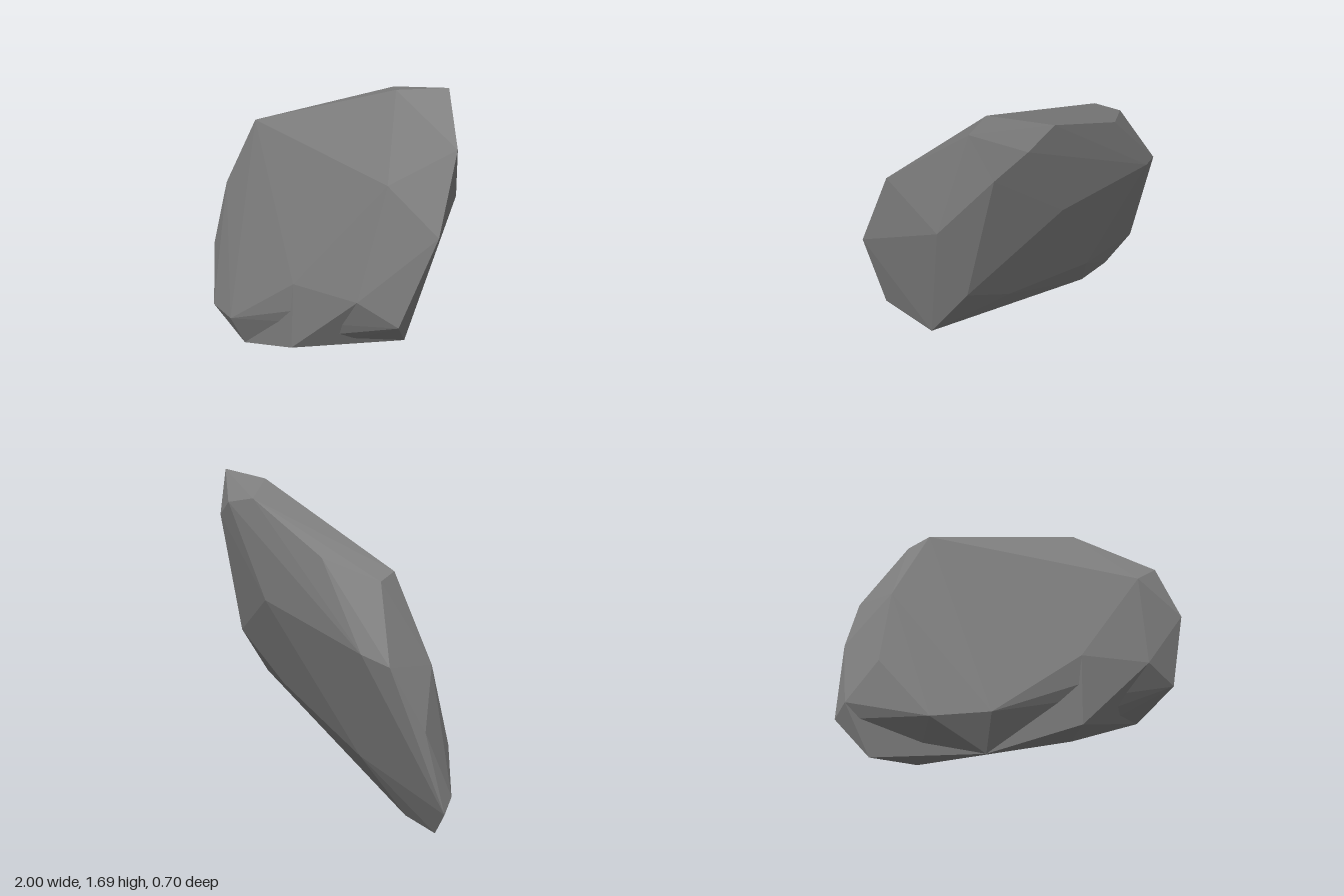
import * as THREE from 'three';
import { ConvexGeometry } from 'three/addons/geometries/ConvexGeometry.js';

const stone = new THREE.MeshStandardMaterial({ color: 0x808080 });
stone.name = 'grey stone';

// Corners shared by both overlapping chunks of the boulder
const rim = [
  [0.67, 1.69, -0.22], [0.95, 1.51, 0.02], [1, 1.14, 0.17], [0.71, 0.45, 0.06],
  [0.2, 0.23, 0.16], [-0.36, 0.04, 0.27], [-0.61, 0, 0.06], [-1, 0.18, -0.03],
  [-0.98, 0.25, 0.03], [-0.95, 0.6, -0.12], [-0.84, 0.91, -0.25], [-0.63, 1.26, -0.14],
  [-0.57, 1.285, -0.01], [-0.36, 1.35, -0.29], [0.2, 1.58, -0.33], [0.43, 1.65, -0.11],
];
const frontFace = [
  [-0.1, 1.38, 0], [0.68, 1.3, 0.18], [-0.79, 0.86, 0.05], [-0.86, 0.46, 0.11],
  [0.16, 0.64, 0.325], [0.62, 0.71, 0.305],
];
const backFace = [
  [0.82, 1.21, -0.14], [0.6, 1.45, -0.3], [0.42, 1.54, -0.35], [0.11, 1.055, -0.32],
  [-0.69, 0.945, -0.3], [0.65, 0.754, -0.15], [0.28, 0.51, -0.1], [-0.43, 0.307, -0.1],
];
const shared = [...rim, ...frontFace, ...backFace];

// Corners belonging to one chunk only; shallow creases form where the chunks meet
const chunks = {
  mainChunk: [[0.84, 0.64, 0.24], [-0.66, 0.17, 0.27], [-0.38, 0.22, 0.35]],
  lowerChunk: [[0.15, 0.26, 0.335], [-0.85, 0, 0.05]],
};

export function createModel() {
  const rock = new THREE.Group();
  rock.name = 'rock';
  for (const [name, extra] of Object.entries(chunks)) {
    const points = [...shared, ...extra].map((p) => new THREE.Vector3(...p));
    const mesh = new THREE.Mesh(new ConvexGeometry(points), stone);
    mesh.name = name;
    rock.add(mesh);
  }
  return rock;
}
